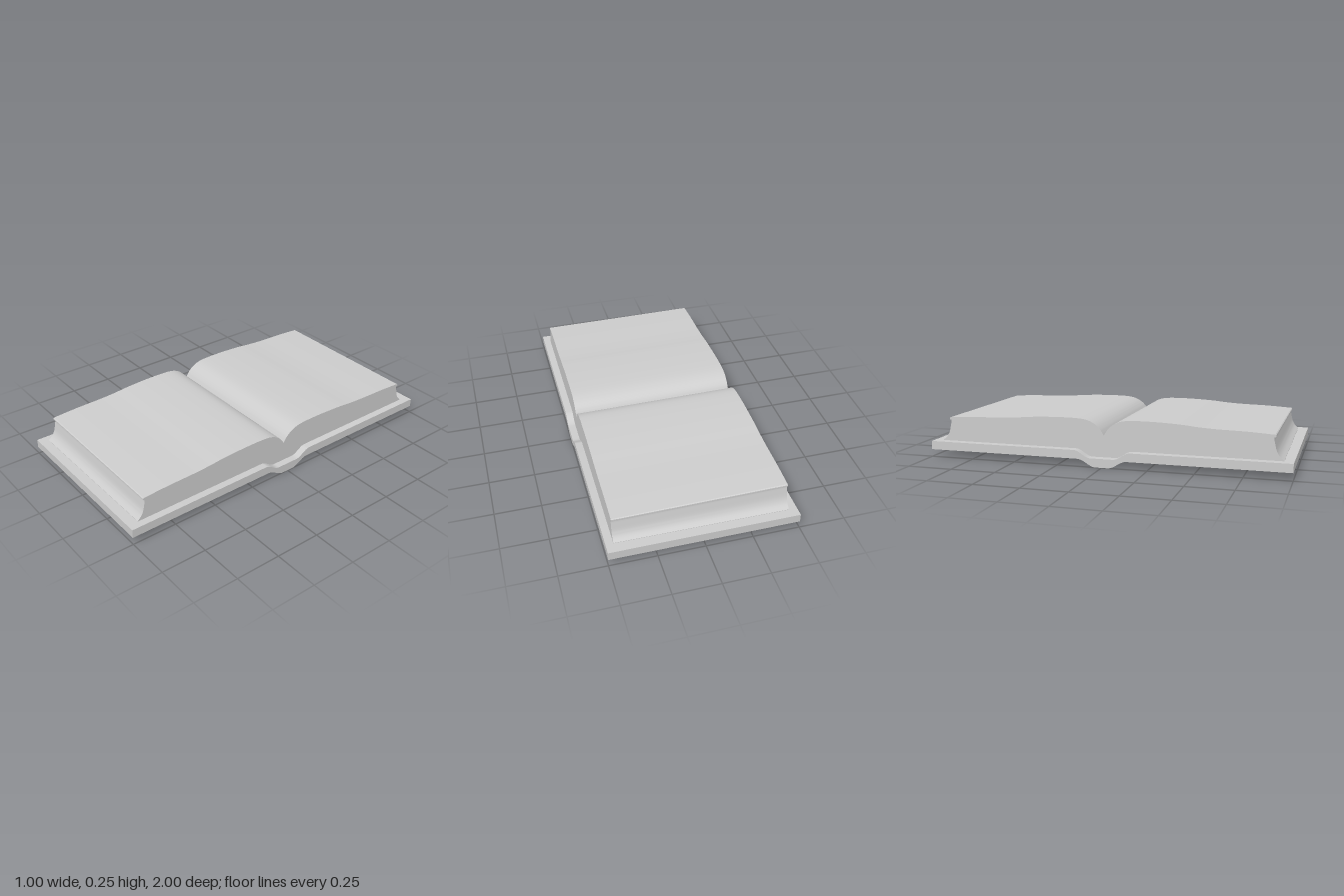
import * as THREE from 'three';
import { toCreasedNormals } from 'three/addons/utils/BufferGeometryUtils.js';

const material = new THREE.MeshStandardMaterial({ color: 0xcccccc, side: THREE.DoubleSide });
const V = (z, y) => new THREE.Vector2(z, y);
const spline = (pts, n) => new THREE.SplineCurve(pts.map((p) => V(...p))).getPoints(n);
const mirrored = (pts) => pts.map((p) => V(-p.x, p.y)).reverse();

// Height of the board at z, dipping between zIn and zOut to form the spine
const dip = (z, level, drop, zIn, zOut) =>
  level - drop * (1 - THREE.MathUtils.smoothstep(Math.abs(z), zIn, zOut));

// Points from z = end to z = -end, dense only across the spine
function boardLine(end, level, drop, zIn, zOut) {
  const pts = [V(end, level)];
  for (let i = 0; i <= 32; i++) {
    const z = 0.16 - 0.01 * i;
    pts.push(V(z, dip(z, level, drop, zIn, zOut)));
  }
  pts.push(V(-end, level));
  return pts;
}

// Extrude a (z, y) outline along x, with an optional rule bending the vertices
function extrudeAlongX(name, outline, x0, x1, rule) {
  const g = new THREE.ExtrudeGeometry(new THREE.Shape(outline), { depth: x1 - x0, bevelEnabled: false });
  g.rotateY(-Math.PI / 2);
  g.translate(x1, 0, 0);
  if (rule) {
    const p = g.attributes.position;
    const v = new THREE.Vector3();
    for (let i = 0; i < p.count; i++) {
      rule(v.fromBufferAttribute(p, i));
      p.setXYZ(i, v.x, v.y, v.z);
    }
  }
  const mesh = new THREE.Mesh(toCreasedNormals(g, 0.6), material);
  mesh.name = name;
  return mesh;
}

export function createModel() {
  const book = new THREE.Group();
  book.name = 'openBook';

  // Cover board with the rounded spine in the middle
  const cover = [
    ...boardLine(1, 0.088, 0.04, 0.065, 0.155),
    ...boardLine(1, 0.041, 0.041, 0.035, 0.135).reverse(),
  ];
  book.add(extrudeAlongX('cover', cover, -0.5, 0.5));

  // Page block: curved leaves from the gutter out, lip, then hollow fore edge
  const leaf = spline([[0, 0.165], [0.02, 0.197], [0.05, 0.225], [0.09, 0.244], [0.14, 0.252],
    [0.22, 0.254], [0.32, 0.252], [0.43, 0.246], [0.5, 0.239], [0.6, 0.233], [0.76, 0.229], [0.9, 0.221]], 56);
  const foreEdge = spline([[0.905, 0.217], [0.905, 0.209], [0.896, 0.204], [0.901, 0.175],
    [0.911, 0.137], [0.927, 0.11], [0.95, 0.09]], 20);
  const side = [...leaf, ...foreEdge];
  const base = boardLine(0.95, 0.088, 0.04, 0.065, 0.155);
  const pages = [...mirrored(side), ...side.slice(1), ...base];

  // Pages get slightly thinner and shorter toward +x
  book.add(extrudeAlongX('pages', pages, -0.455, 0.46, (v) => {
    const t = (v.x + 0.455) / 0.915;
    if (v.y > 0.1) v.y = 0.1 + (v.y - 0.1) * (1 - 0.075 * t);
    if (Math.abs(v.z) > 0.9) v.z -= Math.sign(v.z) * (Math.abs(v.z) - 0.9) * 0.14 * t;
  }));
  return book;
}
